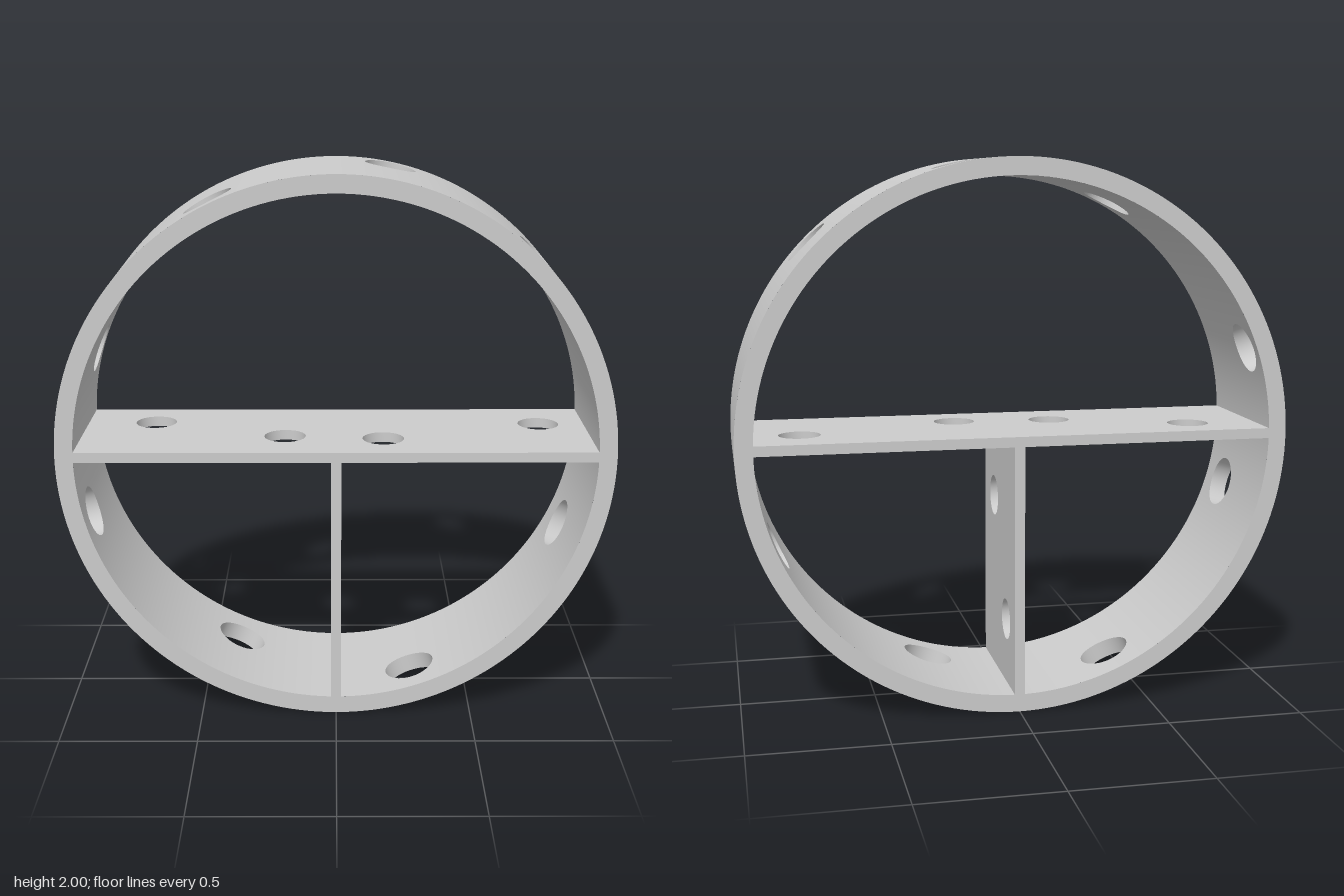
import * as THREE from 'three';
import { toCreasedNormals } from 'three/addons/utils/BufferGeometryUtils.js';

const OUTER = 1, INNER = 0.935, HALF = 0.28, THICK = 0.037;
const RING_HOLE = 0.094, PLATE_HOLE = 0.076, TILE = 0.14;
const material = new THREE.MeshStandardMaterial({ color: 0xcccccc });

// Radial holes in the ring: [angle in degrees from +x, z]
const ringHoles = [
  [-72.5, 0.11], [-24, -0.085], [44.4, 0.11], [78.5, -0.155],
  [116.7, 0.125], [161, -0.145], [196, 0.115], [246.6, -0.085],
];

function ringGeometry() {
  const pos = [], nor = [];
  const point = (r, [a, z]) => [r * Math.cos(a), r * Math.sin(a), z];
  const radial = (s, [a]) => [s * Math.cos(a), s * Math.sin(a), 0];
  const quad = (p, n) => [0, 1, 2, 0, 2, 3].forEach((i) => {
    pos.push(...p[i]);
    nor.push(...n[i]);
  });

  // A patch of wall, f(r, i, j) giving [angle, z], on both outer and inner surfaces
  const wall = (nu, nv, f) => {
    for (let i = 0; i < nu; i++) for (let j = 0; j < nv; j++) {
      for (const [r, s] of [[OUTER, 1], [INNER, -1]]) {
        const c = [f(r, i, j), f(r, i + 1, j), f(r, i + 1, j + 1), f(r, i, j + 1)];
        if (s < 0) c.reverse();
        quad(c.map((q) => point(r, q)), c.map((q) => radial(s, q)));
      }
    }
  };

  ringHoles.forEach(([deg, z0], h) => {
    const a0 = THREE.MathUtils.degToRad(deg);
    const N = 48, LEVELS = 4;
    const phi = (k) => (k / N) * Math.PI * 2;
    const circle = (r, k) => [
      a0 + Math.asin(RING_HOLE * Math.cos(phi(k)) / r), z0 + RING_HOLE * Math.sin(phi(k))];
    const border = (k) => {
      const c = Math.cos(phi(k)), s = Math.sin(phi(k)), m = Math.max(Math.abs(c), Math.abs(s));
      return [a0 + TILE * c / m, HALF * s / m];
    };
    // Wall around the hole, from the circle out to the tile border
    wall(LEVELS, N, (r, i, k) => {
      const p = circle(r, k), q = border(k), t = i / LEVELS;
      return [p[0] + (q[0] - p[0]) * t, p[1] + (q[1] - p[1]) * t];
    });
    // Bore of the hole
    const inward = (k) => [
      Math.cos(phi(k)) * Math.sin(a0), -Math.cos(phi(k)) * Math.cos(a0), -Math.sin(phi(k))];
    for (let k = 0; k < N; k++) {
      quad([point(OUTER, circle(OUTER, k)), point(OUTER, circle(OUTER, k + 1)),
        point(INNER, circle(INNER, k + 1)), point(INNER, circle(INNER, k))],
      [inward(k), inward(k + 1), inward(k + 1), inward(k)]);
    }
    // Plain wall up to the next hole
    const next = h + 1 < ringHoles.length ? ringHoles[h + 1][0] : ringHoles[0][0] + 360;
    const start = a0 + TILE, end = THREE.MathUtils.degToRad(next) - TILE;
    const n = Math.ceil((end - start) / 0.03);
    wall(n, 1, (r, i, j) => [start + (end - start) * i / n, j ? HALF : -HALF]);
  });

  // Flat front and back rims
  const SEG = 180;
  for (let i = 0; i < SEG; i++) for (const s of [1, -1]) {
    const a = (i / SEG) * Math.PI * 2, b = ((i + 1) / SEG) * Math.PI * 2, z = s * HALF;
    const c = [point(INNER, [a, z]), point(OUTER, [a, z]), point(OUTER, [b, z]), point(INNER, [b, z])];
    if (s < 0) c.reverse();
    quad(c, c.map(() => [0, 0, s]));
  }

  const geo = new THREE.BufferGeometry();
  geo.setAttribute('position', new THREE.Float32BufferAttribute(pos, 3));
  geo.setAttribute('normal', new THREE.Float32BufferAttribute(nor, 3));
  return geo;
}

// Flat rectangular plate with round holes, extruded along z and centred on its thickness
function plateGeometry(x0, x1, y0, y1, holes) {
  const shape = new THREE.Shape();
  shape.moveTo(x0, y0).lineTo(x1, y0).lineTo(x1, y1).lineTo(x0, y1).closePath();
  for (const [x, y] of holes) {
    shape.holes.push(new THREE.Path().absarc(x, y, PLATE_HOLE, 0, Math.PI * 2, true));
  }
  const geo = new THREE.ExtrudeGeometry(shape, { depth: THICK, bevelEnabled: false, curveSegments: 18 });
  geo.translate(0, 0, -THICK / 2);
  return geo;
}

export function createModel() {
  const group = new THREE.Group();
  const add = (name, geo, y) => {
    const mesh = new THREE.Mesh(geo, material);
    mesh.name = name;
    mesh.position.y = y;
    group.add(mesh);
  };

  add('ring', ringGeometry(), 1);

  // Horizontal shelf across the middle, holes as [x, z]
  const shelfHoles = [[-0.68, -0.105], [-0.187, 0.075], [0.173, 0.105], [0.764, -0.081]];
  const shelf = plateGeometry(-0.94, 0.94, -HALF, HALF, shelfHoles.map(([x, z]) => [x, -z]));
  add('shelf', toCreasedNormals(shelf.rotateX(-Math.PI / 2), 0.6), 1.002);

  // Vertical divider below the shelf, holes as [z, y]
  const dividerHoles = [[0.105, -0.27], [-0.12, -0.695]];
  const divider = plateGeometry(-HALF, HALF, -0.937, -0.015, dividerHoles.map(([z, y]) => [-z, y]));
  add('divider', toCreasedNormals(divider.rotateY(Math.PI / 2), 0.6), 1);

  return group;
}
